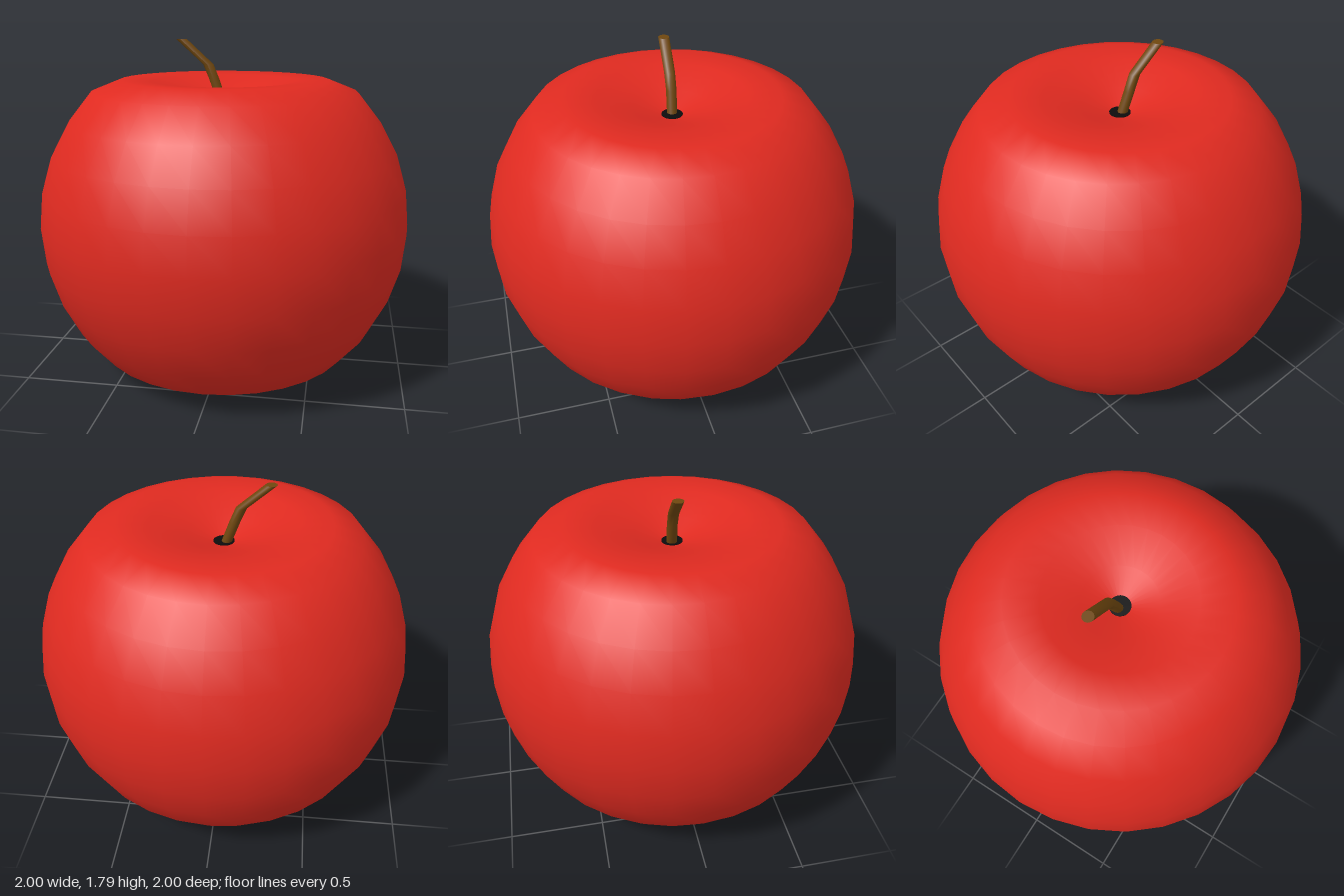
import * as THREE from 'three';

const paint = (color) => new THREE.MeshStandardMaterial({ color });

function add(group, name, geometry, material) {
  const mesh = new THREE.Mesh(geometry, material);
  mesh.name = name;
  group.add(mesh);
  return mesh;
}

// Fruit: a 16-ring sphere profile with a dimple at each pole
function fruitGeometry() {
  const heights = [0.28, 0.1, 0, 0.035, 0.11, 0.26, 0.44, 0.625, 0.82,
    1.01, 1.2, 1.37, 1.525, 1.585, 1.577, 1.51, 1.45];
  const profile = heights.map((y, i) =>
    new THREE.Vector2(i % 16 === 0 ? 0 : Math.sin((i / 16) * Math.PI), y));
  return new THREE.LatheGeometry(profile, 32);
}

// Stem: a cylinder whose level rings are shifted along a bent path
function stemGeometry() {
  const path = [[0.01, 1.4, 0], [-0.055, 1.58, -0.01], [-0.088, 1.66, -0.01], [-0.234, 1.79, -0.018]];
  const rows = path.length - 1;
  const geometry = new THREE.CylinderGeometry(0.029, 0.027, 1, 12, rows);
  const pos = geometry.attributes.position;
  for (let i = 0; i < pos.count; i++) {
    const [x, y, z] = path[Math.round((pos.getY(i) + 0.5) * rows)];
    pos.setXYZ(i, pos.getX(i) + x, y, pos.getZ(i) + z);
  }
  geometry.computeVertexNormals();
  return geometry;
}

export function createModel() {
  const group = new THREE.Group();
  group.name = 'apple';

  add(group, 'fruit', fruitGeometry(), paint(0xdf2a20));
  add(group, 'stem', stemGeometry(), paint(0x6f470f));

  // Dark hollow around the foot of the stem
  const hollow = add(group, 'stemHollow', new THREE.CylinderGeometry(0.055, 0.055, 0.03, 24), paint(0x0c0c0c));
  hollow.position.y = 1.455;

  return group;
}
